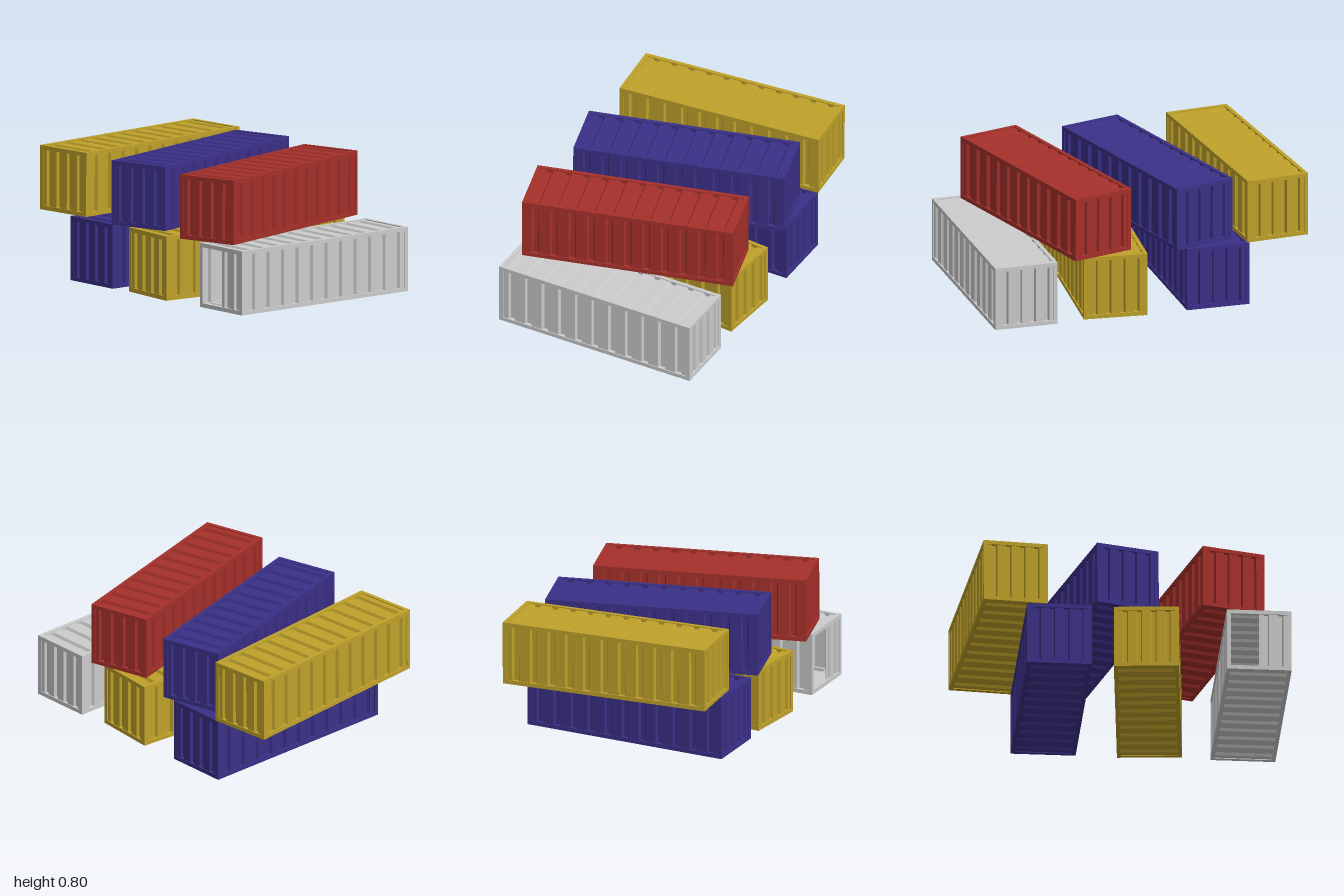
import * as THREE from 'three';

const W = 0.397, H = 0.397, L = 1.325, T = 0.025;

// Corrugated sheet facing +z, ribs running along y
function sheet(w, h, n) {
  const geo = new THREE.PlaneGeometry(w, h, 5 * n, 1);
  const p = geo.attributes.position;
  const along = [0, 0.3, 0.38, 0.62, 0.7], depth = [0, 0, -0.017, -0.017, 0];
  const row = 5 * n + 1;
  for (let i = 0; i < p.count; i++) {
    const c = i % row;
    p.setX(i, ((Math.floor(c / 5) + along[c % 5]) / n - 0.5) * w);
    p.setZ(i, depth[c % 5]);
  }
  geo.computeVertexNormals();
  return geo;
}

function container(name, color, open) {
  const g = new THREE.Group();
  g.name = name;
  const frameMat = new THREE.MeshStandardMaterial({ color, flatShading: true });
  const sheetMat = new THREE.MeshStandardMaterial({ color, flatShading: true, side: THREE.DoubleSide });
  const add = (part, geo, mat, x, y, z) => {
    const m = new THREE.Mesh(geo, mat);
    m.name = part;
    m.position.set(x, y, z);
    g.add(m);
    return m;
  };

  // Frame: four beams in each direction
  for (const a of [-1, 1]) for (const b of [-1, 1]) {
    const x = a * (W - T) / 2, y = b * (H - T) / 2;
    add('cornerPost', new THREE.BoxGeometry(T, H, T), frameMat, x, 0, b * (L - T) / 2);
    add('longRail', new THREE.BoxGeometry(T, T, L - 2 * T), frameMat, x, y, 0);
    add('endRail', new THREE.BoxGeometry(W - 2 * T, T, T), frameMat, 0, a * (H - T) / 2, b * (L - T) / 2);
  }

  // Corrugated walls, roof and floor
  const iw = W - 2 * T, ih = H - 2 * T, il = L - 2 * T, inset = 0.006;
  for (const s of [-1, 1]) {
    add('sideWall', sheet(il, ih, 11), sheetMat, s * (W / 2 - inset), 0, 0).rotation.y = s * Math.PI / 2;
    const flat = add(s > 0 ? 'roof' : 'floor', sheet(il, iw, 11), sheetMat, 0, s * (H / 2 - inset), 0);
    flat.rotation.set(-s * Math.PI / 2, 0, Math.PI / 2);
  }
  add('backWall', sheet(iw, ih, 4), sheetMat, 0, 0, -L / 2 + inset).rotation.y = Math.PI;

  // Front: closed wall, or a single closed door leaf beside an opening
  if (open) add('doorLeaf', sheet(iw / 2, ih, 2), sheetMat, iw / 4, 0, L / 2 - inset);
  else add('frontWall', sheet(iw, ih, 4), sheetMat, 0, 0, L / 2 - inset);
  return g;
}

export function createModel() {
  const model = new THREE.Group();
  model.name = 'containerStack';
  const blue = 0x3b3088, yellow = 0xbfa12a, red = 0xa5302a, grey = 0xcccccc;
  const low = H / 2 + 0.002, high = 0.604;
  // name, colour, x, y, z, turn, tilt, open
  const stack = [
    ['lowerBlueContainer', blue, -0.42, low, -0.005, 0, 0, false],
    ['lowerYellowContainer', yellow, 0.17, low, 0, -0.09, 0, false],
    ['lowerGreyContainer', grey, 0.8, low, -0.005, 0, 0, true],
    ['upperYellowContainer', yellow, -0.745, high, 0, 0.088, -0.003, false],
    ['upperBlueContainer', blue, -0.172, high, 0, 0.262, -0.003, false],
    ['upperRedContainer', red, 0.474, high, 0, 0.262, -0.004, false],
  ];
  for (const [name, color, x, y, z, turn, tilt, open] of stack) {
    const c = container(name, color, open);
    c.position.set(x, y, z);
    c.rotation.set(tilt, turn, 0, 'YXZ');
    model.add(c);
  }
  return model;
}
